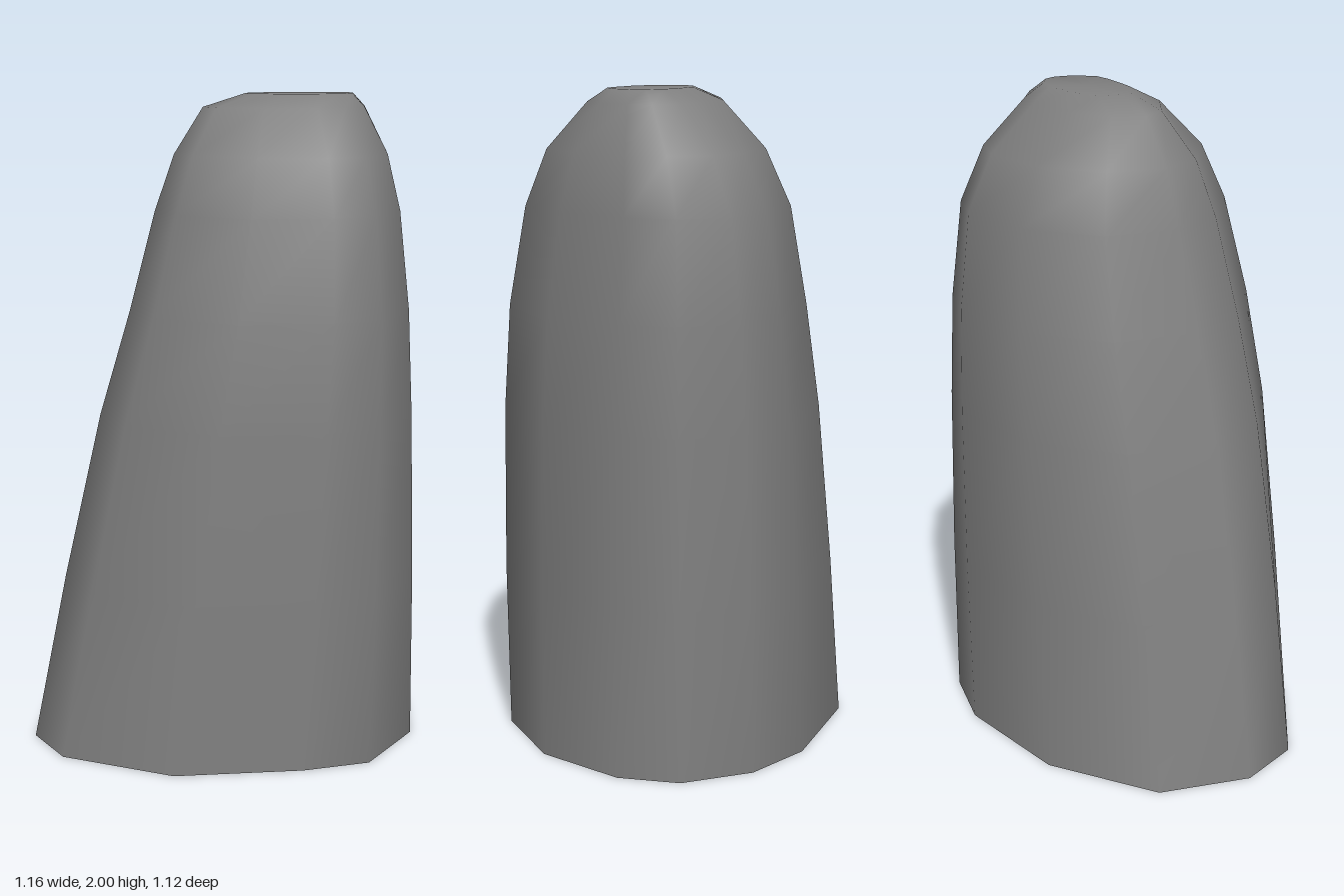
import * as THREE from 'three';

export function createModel() {
  const group = new THREE.Group();
  group.name = 'stump';
  const grey = new THREE.MeshStandardMaterial({ color: 0x808080, side: THREE.DoubleSide });
  grey.name = 'grey';

  // Irregular twelve-sided footprint (x, z)
  const base = [
    [-0.25, -0.56], [0.12, -0.49], [0.44, -0.255], [0.56, -0.06],
    [0.58, 0.17], [0.49, 0.34], [0.25, 0.51], [-0.05, 0.555],
    [-0.225, 0.435], [-0.5, 0.155], [-0.585, -0.215], [-0.5, -0.41],
  ];
  // Diagonal axes: w is the leaning direction, u runs across it
  const diagonal = base.map(([x, z]) => [(x + z) * Math.SQRT1_2, (x - z) * Math.SQRT1_2]);
  const range = (k) => {
    const values = diagonal.map((p) => p[k]);
    return [Math.min(...values), Math.max(...values)];
  };
  const [w0, w1] = range(0);
  const [u0, u1] = range(1);

  // Cross-sections: height, then the extents along w and u
  const rings = [
    [0, w0, w1, u0, u1],
    [0.52, -0.54, 0.58, -0.465, 0.485],
    [1.03, -0.425, 0.565, -0.45, 0.47],
    [1.35, -0.33, 0.55, -0.42, 0.45],
    [1.65, -0.25, 0.52, -0.36, 0.41],
    [1.82, -0.19, 0.48, -0.29, 0.33],
    [1.96, -0.1, 0.41, -0.16, 0.19],
    [2.0, 0.03, 0.37, -0.09, 0.12],
  ];

  const positions = [];
  const index = [];
  const n = base.length;
  for (const [y, wa, wb, ua, ub] of rings) {
    for (const [w, u] of diagonal) {
      const rw = THREE.MathUtils.mapLinear(w, w0, w1, wa, wb);
      const ru = THREE.MathUtils.mapLinear(u, u0, u1, ua, ub);
      positions.push((rw + ru) * Math.SQRT1_2, y, (rw - ru) * Math.SQRT1_2);
    }
  }
  // Side walls, open at the bottom
  for (let i = 0; i < rings.length - 1; i++) {
    for (let j = 0; j < n; j++) {
      const k = (j + 1) % n;
      const a = i * n + j, b = i * n + k;
      index.push(a, a + n, b, b, a + n, b + n);
    }
  }
  // Rounded top closes on a centre point
  const top = (rings.length - 1) * n;
  const centre = positions.length / 3;
  positions.push(0.15, 2, 0.13);
  for (let j = 0; j < n; j++) index.push(centre, top + ((j + 1) % n), top + j);

  const geometry = new THREE.BufferGeometry();
  geometry.setAttribute('position', new THREE.Float32BufferAttribute(positions, 3));
  geometry.setIndex(index);
  geometry.computeVertexNormals();

  const body = new THREE.Mesh(geometry, grey);
  body.name = 'taperedBody';
  group.add(body);
  return group;
}
